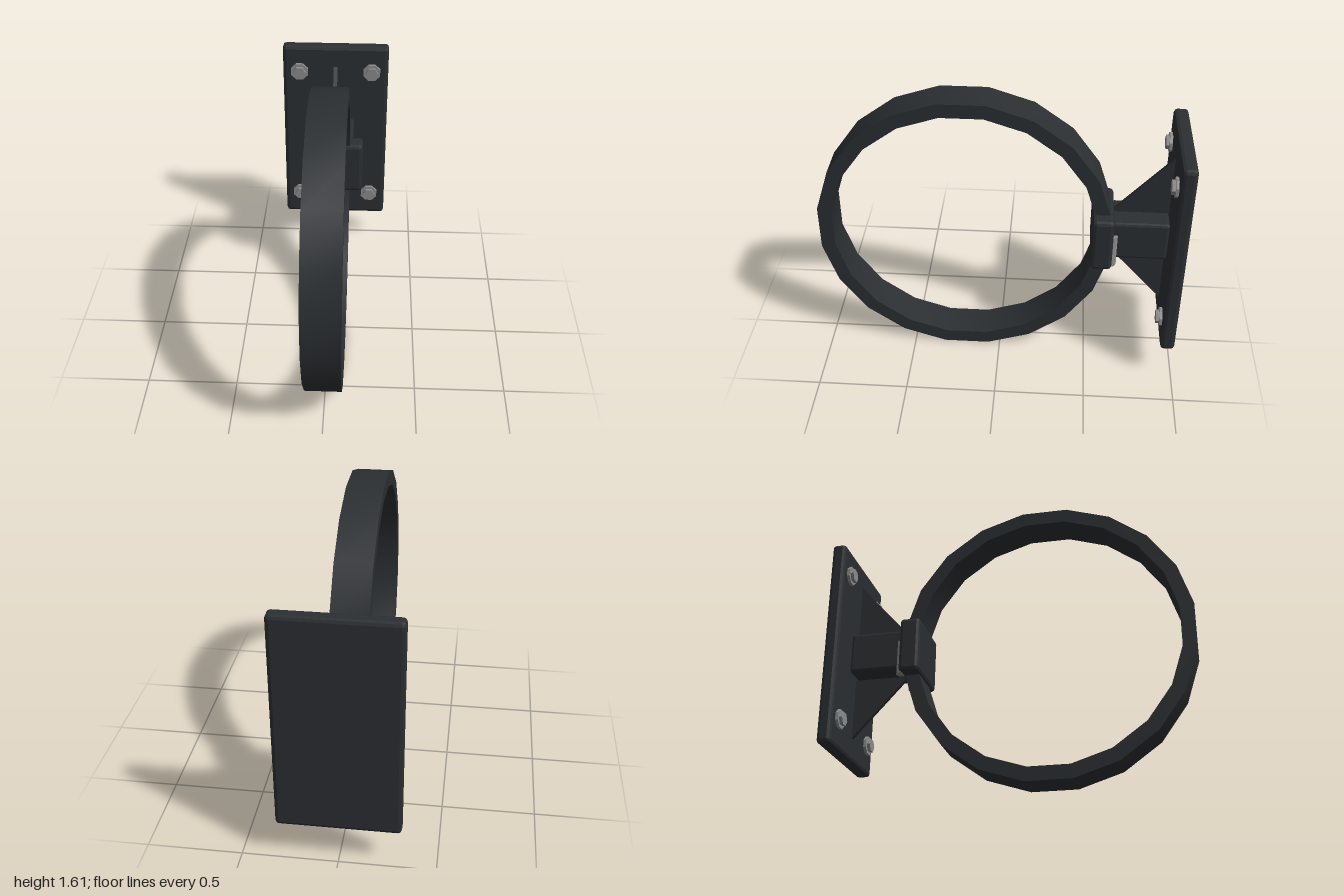
import * as THREE from 'three';
import { RoundedBoxGeometry } from 'three/addons/geometries/RoundedBoxGeometry.js';
import { toCreasedNormals } from 'three/addons/utils/BufferGeometryUtils.js';

const MID_Y = 0.807;

export function createModel() {
  const model = new THREE.Group();
  const dark = new THREE.MeshStandardMaterial({ color: 0x2b2f32 });
  const darkFlat = new THREE.MeshStandardMaterial({ color: 0x2b2f32, flatShading: true });
  const steel = new THREE.MeshStandardMaterial({ color: 0x8c8c8c, flatShading: true });

  function add(name, geometry, material, x = 0, y = 0, z = 0, parent = model) {
    const mesh = new THREE.Mesh(geometry, material);
    mesh.name = name;
    mesh.position.set(x, y, z);
    parent.add(mesh);
    return mesh;
  }

  // Box with a single-step chamfer on every edge
  const chamferBox = (w, h, d, r) => new RoundedBoxGeometry(w, h, d, 1, r);

  // Twenty-sided ring standing in the YZ plane, with flats at top and bottom
  const polygon = (apothem) => {
    const radius = apothem / Math.cos(Math.PI / 20);
    return Array.from({ length: 20 }, (_, i) => {
      const a = (i + 0.5) * Math.PI / 10;
      return new THREE.Vector2(Math.cos(a) * radius, Math.sin(a) * radius);
    });
  };
  const ringShape = new THREE.Shape(polygon(0.805));
  ringShape.holes.push(new THREE.Path(polygon(0.727)));
  const ring = new THREE.ExtrudeGeometry(ringShape, { depth: 0.2, bevelEnabled: false });
  ring.translate(0, 0, -0.1).rotateY(Math.PI / 2);
  add('ring', toCreasedNormals(ring, 0.6), dark, 0, 0.805, 0.195);

  // Wall plate, support arm and ring clamp
  add('wallPlate', chamferBox(0.64, 1.195, 0.08, 0.02), darkFlat, 0, MID_Y, -0.96);
  add('supportArm', chamferBox(0.235, 0.232, 0.31, 0.015), darkFlat, 0, MID_Y, -0.767);
  add('ringClamp', chamferBox(0.354, 0.316, 0.116, 0.02), darkFlat, 0, MID_Y, -0.563);

  // Thin triangular gussets above and below the arm
  for (const side of [1, -1]) {
    const shape = new THREE.Shape([
      new THREE.Vector2(0.61, side * 0.126),
      new THREE.Vector2(0.925, side * 0.126),
      new THREE.Vector2(0.925, side * 0.475),
    ]);
    const gusset = new THREE.ExtrudeGeometry(shape, { depth: 0.024, bevelEnabled: false });
    gusset.translate(0, 0, -0.012).rotateY(Math.PI / 2);
    add(side > 0 ? 'upperGusset' : 'lowerGusset', gusset, darkFlat, 0, MID_Y, 0);
  }

  // Hinge pins behind the clamp
  for (const side of [1, -1]) {
    add('hingePin', new THREE.CylinderGeometry(0.032, 0.032, 0.195, 8), steel, side * 0.115, 0.748, -0.615);
  }

  // Corner bolts: washer and hexagonal head
  for (const x of [-0.22, 0.22]) {
    for (const y of [0.37, 1.245]) {
      const bolt = new THREE.Group();
      bolt.name = 'plateBolt';
      bolt.position.set(x, y, -0.92);
      const washer = new THREE.CylinderGeometry(0.055, 0.055, 0.02, 8).rotateY(Math.PI / 8).rotateX(Math.PI / 2);
      const head = new THREE.CylinderGeometry(0.039, 0.039, 0.03, 6).rotateY(Math.PI / 6).rotateX(Math.PI / 2);
      add('washer', washer, steel, 0, 0, 0.006, bolt);
      add('boltHead', head, steel, 0, 0, 0.019, bolt);
      model.add(bolt);
    }
  }

  return model;
}
